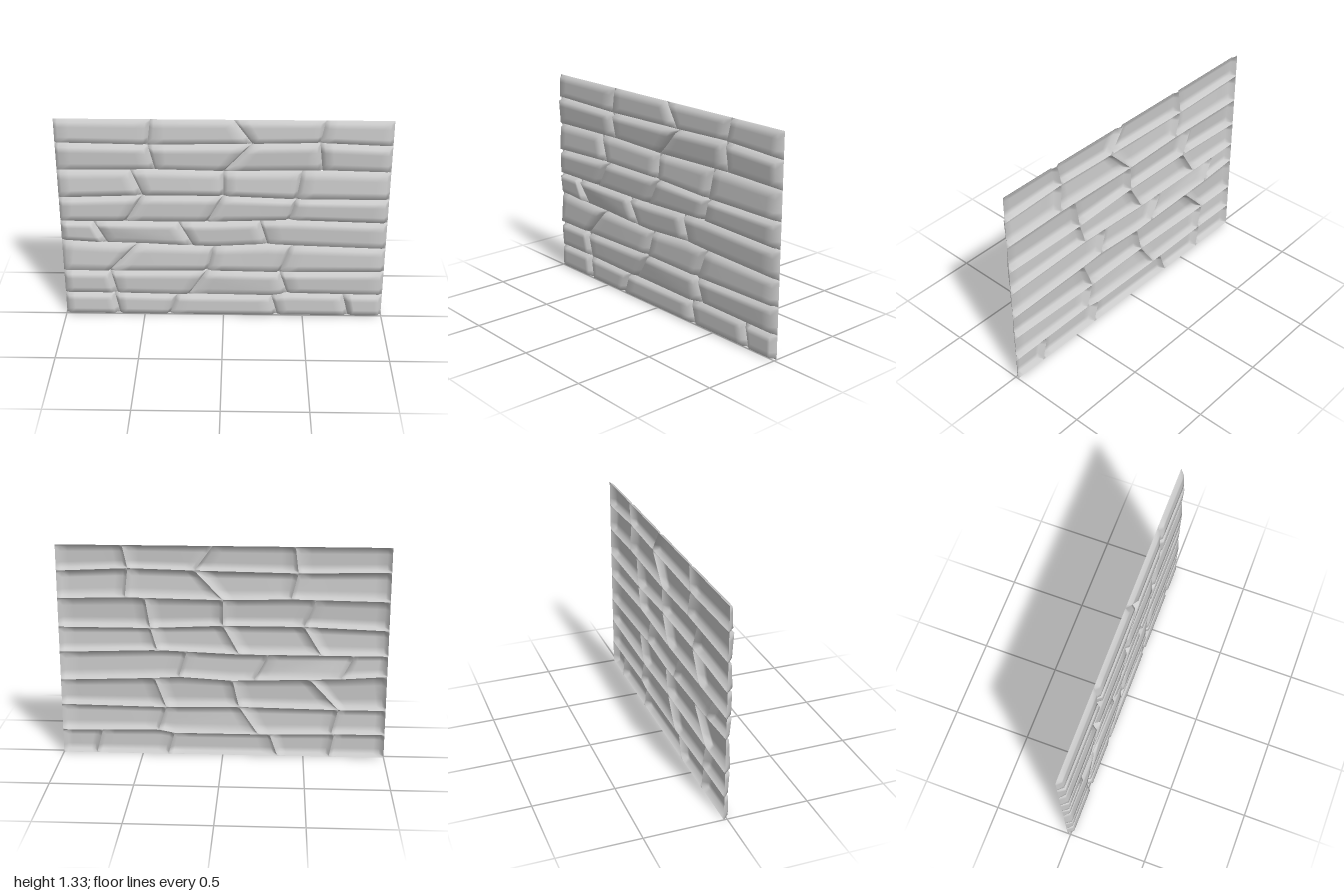
import * as THREE from 'three';

const BACK = -0.02; // depth of the joints and the outer rim
const lerp = THREE.MathUtils.lerp;

// Horizontal joints from top to bottom, as [x, y] points along the wall
const seams = [
  [[-1, 1.33], [1, 1.33]],
  [[-1, 1.18], [-0.45, 1.17], [0.17, 1.18], [0.57, 1.19], [1, 1.17]],
  [[-1, 1.0], [-0.41, 1.01], [0, 1.0], [0.59, 1.01], [1, 1.0]],
  [[-1, 0.82], [-0.49, 0.84], [0, 0.84], [0.44, 0.82], [1, 0.82]],
  [[-1, 0.66], [-0.6, 0.66], [-0.1, 0.66], [0.4, 0.68], [1, 0.66]],
  [[-1, 0.53], [-0.72, 0.51], [-0.06, 0.49], [0.27, 0.51], [0.42, 0.5], [1, 0.48]],
  [[-1, 0.31], [-0.71, 0.31], [-0.1, 0.32], [0.35, 0.31], [1, 0.32]],
  [[-1, 0.15], [-0.67, 0.15], [-0.22, 0.14], [0.3, 0.14], [0.4, 0.16], [1, 0.15]],
  [[-1, 0], [1, 0]],
];

// Courses: upright joints as [x at top, x at bottom], face depth at top and bottom
const courses = [
  { joints: [[-0.43, -0.45], [0.06, 0.17], [0.6, 0.57]], top: 0.005, bottom: 0.013 },
  { joints: [[-0.45, -0.41], [0.17, 0], [0.57, 0.59]], top: 0.02, bottom: 0.01 },
  { joints: [[-0.56, -0.49], [0, 0], [0.47, 0.44]], top: 0.008, bottom: 0.021 },
  { joints: [[-0.49, -0.6], [0, -0.1], [0.44, 0.4]], top: 0.02, bottom: 0.014 },
  { joints: [[-0.8, -0.72], [-0.28, -0.19], [0.22, 0.27]], top: 0.018, bottom: 0.011 },
  { joints: [[-0.53, -0.71], [-0.06, -0.1], [0.42, 0.35]], top: 0.01, bottom: 0.019 },
  { joints: [[-0.71, -0.67], [-0.1, -0.22], [0.35, 0.4]], top: 0.018, bottom: 0.011 },
  { joints: [[-0.69, -0.66], [-0.29, -0.34], [0.3, 0.34], [0.75, 0.79]], top: 0.013, bottom: 0.015 },
];

// Stones whose lower left corner sinks back, keyed by course and position
const sunken = { '4,1': 0.02, '6,2': 0.012 };

function seamY(points, x) {
  let i = 1;
  while (i < points.length - 1 && x > points[i][0]) i++;
  const [a, b] = [points[i - 1], points[i]];
  return lerp(a[1], b[1], (x - a[0]) / (b[0] - a[0]));
}

// One stone: a bevelled sheet open at the back, following its four joints
function stoneGeometry(row, left, right, sink) {
  const { top, bottom } = courses[row];
  const width = (right[0] + right[1] - left[0] - left[1]) / 2;
  const edge = 0.026 / width;
  const us = [0, edge];
  for (let i = 1; i < 8; i++) us.push(lerp(edge, 1 - edge, i / 8));
  us.push(1 - edge, 1);
  const vs = [0, 0.1, 0.3, 0.5, 0.7, 0.92, 1];
  const positions = [];
  const index = [];
  vs.forEach((v, j) => us.forEach((u, i) => {
    const x = lerp(lerp(left[0], left[1], v), lerp(right[0], right[1], v), u);
    const y = lerp(seamY(seams[row], x), seamY(seams[row + 1], x), v);
    const rim = i === 0 || j === 0 || i === us.length - 1 || j === vs.length - 1;
    const face = lerp(top, bottom, v) - sink * Math.max(0, v - u);
    positions.push(x, y, rim ? BACK : face);
    if (i && j) {
      const d = j * us.length + i;
      const [a, b, c] = [d - us.length - 1, d - us.length, d - 1];
      index.push(a, c, b, b, c, d);
    }
  }));
  const geometry = new THREE.BufferGeometry();
  geometry.setAttribute('position', new THREE.Float32BufferAttribute(positions, 3));
  geometry.setIndex(index);
  geometry.computeVertexNormals();
  return geometry;
}

export function createModel() {
  const wall = new THREE.Group();
  wall.name = 'stoneWallPanel';
  const material = new THREE.MeshStandardMaterial({ color: 0xcccccc, side: THREE.DoubleSide });
  courses.forEach(({ joints }, row) => {
    const course = new THREE.Group();
    course.name = `course${row + 1}`;
    const ends = [[-1, -1], ...joints, [1, 1]];
    for (let i = 0; i < ends.length - 1; i++) {
      const sink = sunken[`${row},${i}`] ?? 0;
      const stone = new THREE.Mesh(stoneGeometry(row, ends[i], ends[i + 1], sink), material);
      stone.name = `stone${i + 1}`;
      course.add(stone);
    }
    wall.add(course);
  });
  return wall;
}
